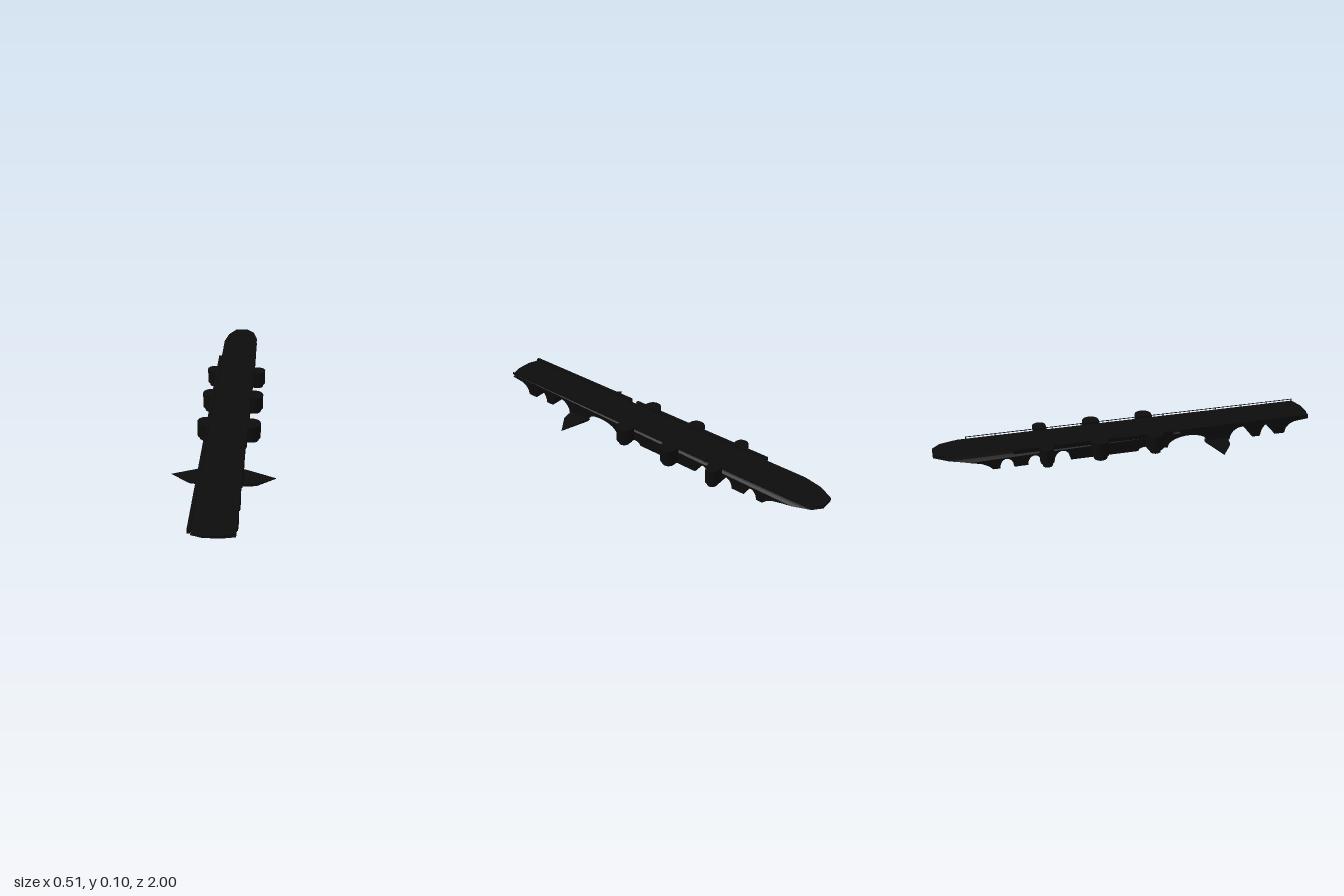
import * as THREE from 'three';

const material = new THREE.MeshStandardMaterial({ color: 0x0c0c0c });

// Piecewise-linear lookup in a list of [position, value]
function lerpTable(table, t) {
  for (let i = 1; i < table.length; i++) {
    const [a, va] = table[i - 1], [b, vb] = table[i];
    if (t <= b) return va + (vb - va) * Math.max(0, (t - a) / (b - a));
  }
  return table[table.length - 1][1];
}

// Deck outline: edge x at each z
const rightEdge = [[-1, 0.03], [-0.96, 0.072], [-0.87, 0.096], [0.98, 0.096], [1, 0.03]];
const leftEdge = [[-1, -0.037], [-0.925, -0.08], [-0.83, -0.1], [0.98, -0.1], [1, -0.05]];

// Arched openings below the deck: [z start, z end, height]
const arches = [
  [-0.68, -0.61, 0.05], [-0.54, -0.47, 0.05], [-0.405, -0.32, 0.056],
  [0.035, 0.105, 0.02], [0.15, 0.17, 0.016], [0.195, 0.42, 0.056],
  [0.54, 0.67, 0.068], [0.715, 0.8, 0.068],
];

export function createModel() {
  const model = new THREE.Group();

  function add(name, geometry) {
    const mesh = new THREE.Mesh(geometry, material);
    mesh.name = name;
    model.add(mesh);
    return mesh;
  }

  function box(name, x0, x1, y0, y1, z0, z1) {
    const g = new THREE.BoxGeometry(x1 - x0, y1 - y0, z1 - z0);
    g.translate((x0 + x1) / 2, (y0 + y1) / 2, (z0 + z1) / 2);
    return add(name, g);
  }

  // Plan shape (x, z) raised from y0 to y1
  function slab(shape, y0, y1) {
    const g = new THREE.ExtrudeGeometry(shape, { depth: y1 - y0, bevelEnabled: false, curveSegments: 10 });
    return g.rotateX(Math.PI / 2).translate(0, y1, 0);
  }

  // Hull: side profile with arches, stretched to the deck outline
  const profile = new THREE.Shape();
  const underNose = [[-1, 0.07], [-0.96, 0.067], [-0.925, 0.064], [-0.87, 0.058],
    [-0.83, 0.052], [-0.77, 0.038], [-0.735, 0.02], [-0.715, 0]];
  underNose.forEach(([z, y], i) => (i ? profile.lineTo(z, y) : profile.moveTo(z, y)));
  for (const [z0, z1, h] of arches) {
    profile.lineTo(z0, 0);
    profile.absellipse((z0 + z1) / 2, 0, (z1 - z0) / 2, h, Math.PI, 0, true);
  }
  for (const [z, y] of [[0.855, 0], [0.862, 0.03], [0.88, 0.05], [0.91, 0.063], [0.98, 0.07],
    [1, 0.075], [1, 0.088], [0.98, 0.088], [-0.83, 0.088], [-0.87, 0.088],
    [-0.925, 0.088], [-0.96, 0.088], [-1, 0.088]]) profile.lineTo(z, y);
  const hull = new THREE.ExtrudeGeometry(profile, { depth: 1, bevelEnabled: false, curveSegments: 14 });
  hull.rotateY(-Math.PI / 2);
  const p = hull.attributes.position;
  for (let i = 0; i < p.count; i++) {
    const z = p.getZ(i);
    p.setX(i, p.getX(i) > -0.5 ? lerpTable(rightEdge, z) : lerpTable(leftEdge, z));
  }
  hull.computeVertexNormals();
  add('hull', hull);

  // Side towers: rounded bastions on narrower feet
  function capsule(side, inner, outer, zc, r) {
    const s = new THREE.Shape();
    s.moveTo(side * inner, zc - r);
    s.lineTo(side * (outer - r), zc - r);
    if (side > 0) s.absarc(outer - r, zc, r, -Math.PI / 2, Math.PI / 2, false);
    else s.absarc(-(outer - r), zc, r, -Math.PI / 2, Math.PI / 2, true);
    s.lineTo(side * inner, zc + r);
    s.closePath();
    return s;
  }
  for (const [zc, r, foot] of [[-0.445, 0.035, 0.025], [-0.17, 0.044, 0.034], [0.12, 0.044, 0.028]]) {
    for (const side of [1, -1]) {
      const inner = side > 0 ? 0.095 : 0.1;
      add('tower', slab(capsule(side, inner, 0.163, zc, r), 0.02, 0.1));
      add('towerFoot', slab(capsule(side, inner, 0.152, zc, foot), 0, 0.02));
    }
  }

  // Pointed fins at the foot of the broad pier, thinning towards the tip
  for (const side of [1, -1]) {
    const outline = [[0.08, 0.405], [0.1, 0.405], [0.253, 0.453], [0.16, 0.52], [0.1, 0.527], [0.08, 0.527]];
    const shape = new THREE.Shape(outline.map(([x, z]) => new THREE.Vector2(side * x, z)));
    const fin = slab(shape, 0, 0.012);
    const q = fin.attributes.position;
    for (let i = 0; i < q.count; i++) {
      if (q.getY(i) > 0.006) q.setY(i, 0.013 - 0.068 * (Math.abs(q.getX(i)) - 0.1));
    }
    fin.computeVertexNormals();
    add('fin', fin);
  }

  // Solid parapet on one side, broken by a gap
  box('parapet', -0.114, -0.099, 0.078, 0.1, 0.26, 0.98);
  box('parapet', -0.114, -0.099, 0.078, 0.1, -0.61, 0.22);

  // Thin handrail on the other side
  box('handrail', 0.093, 0.096, 0.097, 0.1, -0.83, 0.98);
  for (let i = 0; i <= 12; i++) {
    const z = -0.828 + i * 0.1505;
    box('railPost', 0.093, 0.096, 0.086, 0.098, z - 0.002, z + 0.002);
  }

  return model;
}
